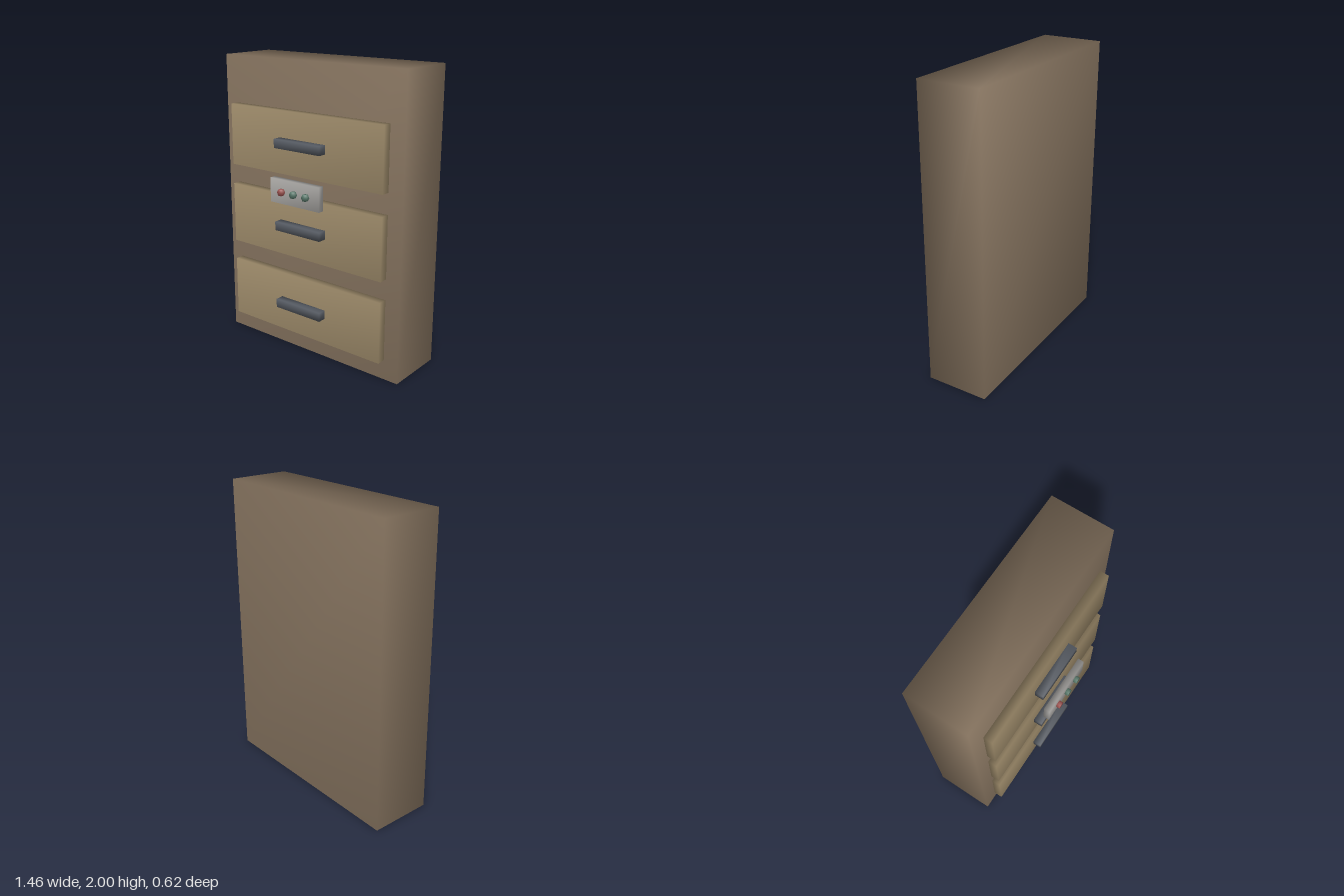
import * as THREE from 'three';
import { mergeVertices } from 'three/addons/utils/BufferGeometryUtils.js';

// Share corners so the shading runs softly across the edges
function soften(geometry) {
  geometry.deleteAttribute('normal');
  geometry.deleteAttribute('uv');
  const merged = mergeVertices(geometry, 1e-4);
  merged.computeVertexNormals();
  return merged;
}

const paint = (color) => new THREE.MeshStandardMaterial({ color });

// Box given by its limits along each axis
function block(name, [x0, x1], [y0, y1], [z0, z1], material) {
  const mesh = new THREE.Mesh(soften(new THREE.BoxGeometry(x1 - x0, y1 - y0, z1 - z0)), material);
  mesh.position.set((x0 + x1) / 2, (y0 + y1) / 2, (z0 + z1) / 2);
  mesh.name = name;
  return mesh;
}

export function createModel() {
  const model = new THREE.Group();
  model.name = 'drawerCabinet';

  const bodyPaint = paint(0x8b7863);
  const drawerPaint = paint(0xa08d6c);
  const handlePaint = paint(0x555a62);
  const panelPaint = paint(0xaaa8a5);
  const red = paint(0xa05552);
  const green = paint(0x5a7a6c);

  // Cabinet body
  model.add(block('cabinetBody', [-0.728, 0.728], [0, 2], [-0.31, 0.112], bodyPaint));

  // Three drawers, each with a bar handle
  ['bottom', 'middle', 'top'].forEach((level, i) => {
    const y = 0.14 + i * 0.56;
    const drawer = new THREE.Group();
    drawer.name = `${level}Drawer`;
    drawer.add(
      block('drawerFront', [-0.628, 0.626], [y, y + 0.42], [0.117, 0.178], drawerPaint),
      block('drawerHandle', [-0.19, 0.187], [y + 0.182, y + 0.242], [0.178, 0.237], handlePaint)
    );
    model.add(drawer);
  });

  // Control panel standing proud between the upper drawers
  const panel = new THREE.Group();
  panel.name = 'controlPanel';
  panel.add(block('panelPlate', [-0.181, 0.224], [1.095, 1.257], [0.242, 0.284], panelPaint));

  // Six-sided indicator lights
  const lamp = soften(new THREE.CylinderGeometry(0.024, 0.024, 0.026, 6).rotateY(Math.PI / 6).rotateX(Math.PI / 2));
  [red, green, green].forEach((material, i) => {
    const light = new THREE.Mesh(lamp, material);
    light.position.set(-0.079 + i * 0.101, 1.176, 0.297);
    light.name = `indicatorLight${i + 1}`;
    panel.add(light);
  });
  model.add(panel);

  return model;
}
